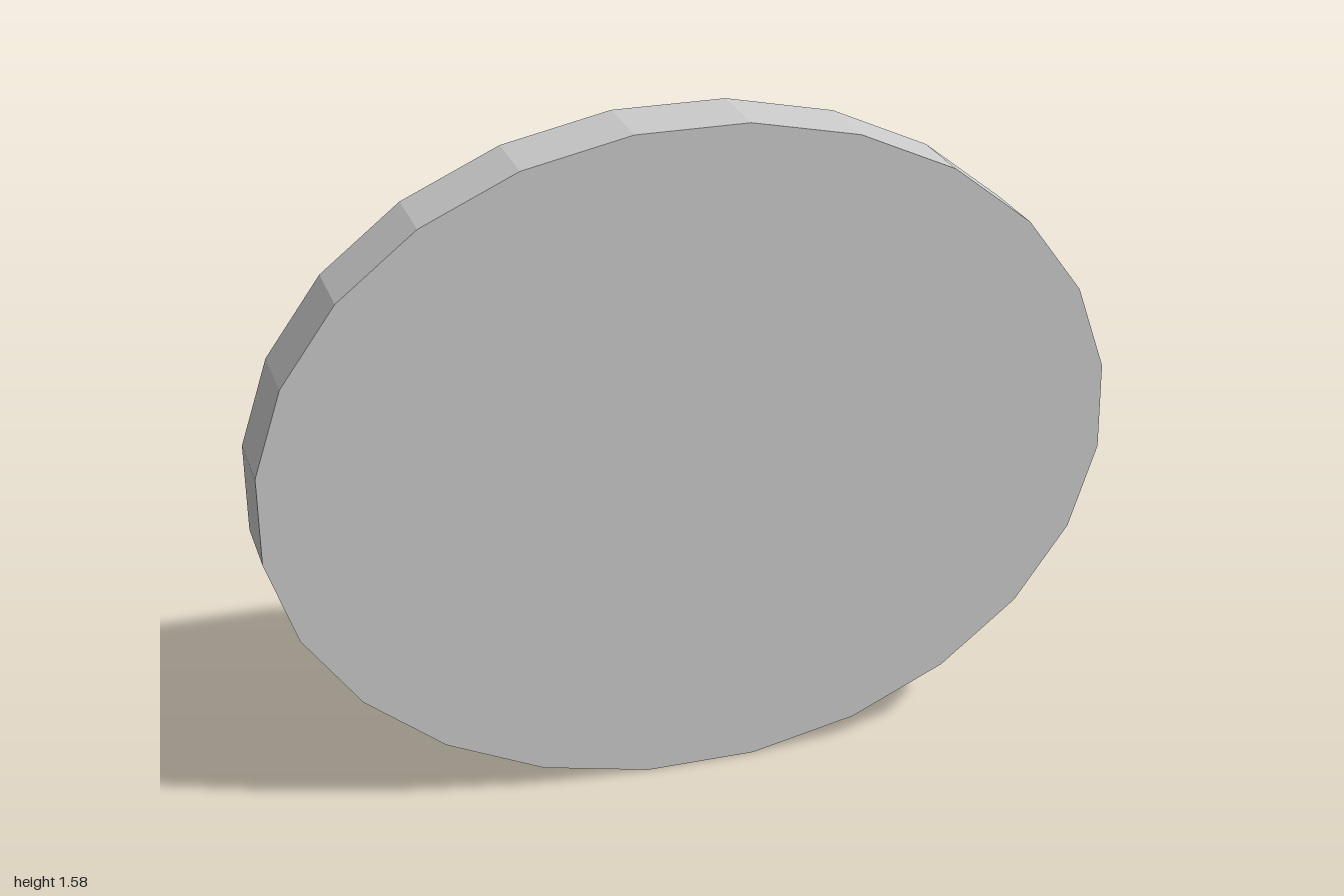
import * as THREE from 'three';

const SIDES = 24;
const RX = 1.007, RY = 0.798; // oval radii
const CENTER_Y = 0.792;
const HALF = 0.0915;          // half thickness
const RECESS = 0.046;         // depth of the recess in the back
const INNER = 0.8;            // recess size relative to the rim
const PHASE = THREE.MathUtils.degToRad(6.9);

export function createModel() {
  const group = new THREE.Group();
  group.name = 'ovalPlaque';

  // Half section from the front centre, round the rim, to the recess floor
  const profile = [
    [0, -HALF], [1, -HALF], [1, HALF],
    [INNER, HALF], [INNER, HALF - RECESS], [0, HALF - RECESS],
  ].map(([r, y]) => new THREE.Vector2(r, y));

  // Turn the section, lay its axis along z and stretch it to an oval
  const geometry = new THREE.LatheGeometry(profile, SIDES, PHASE).toNonIndexed();
  geometry.rotateX(-Math.PI / 2);
  geometry.scale(RX, RY, 1);
  geometry.computeVertexNormals();

  const plate = new THREE.Mesh(
    geometry,
    new THREE.MeshStandardMaterial({ color: 0xcccccc, flatShading: true })
  );
  plate.name = 'recessedOvalPlate';
  plate.position.y = CENTER_Y;
  group.add(plate);
  return group;
}
